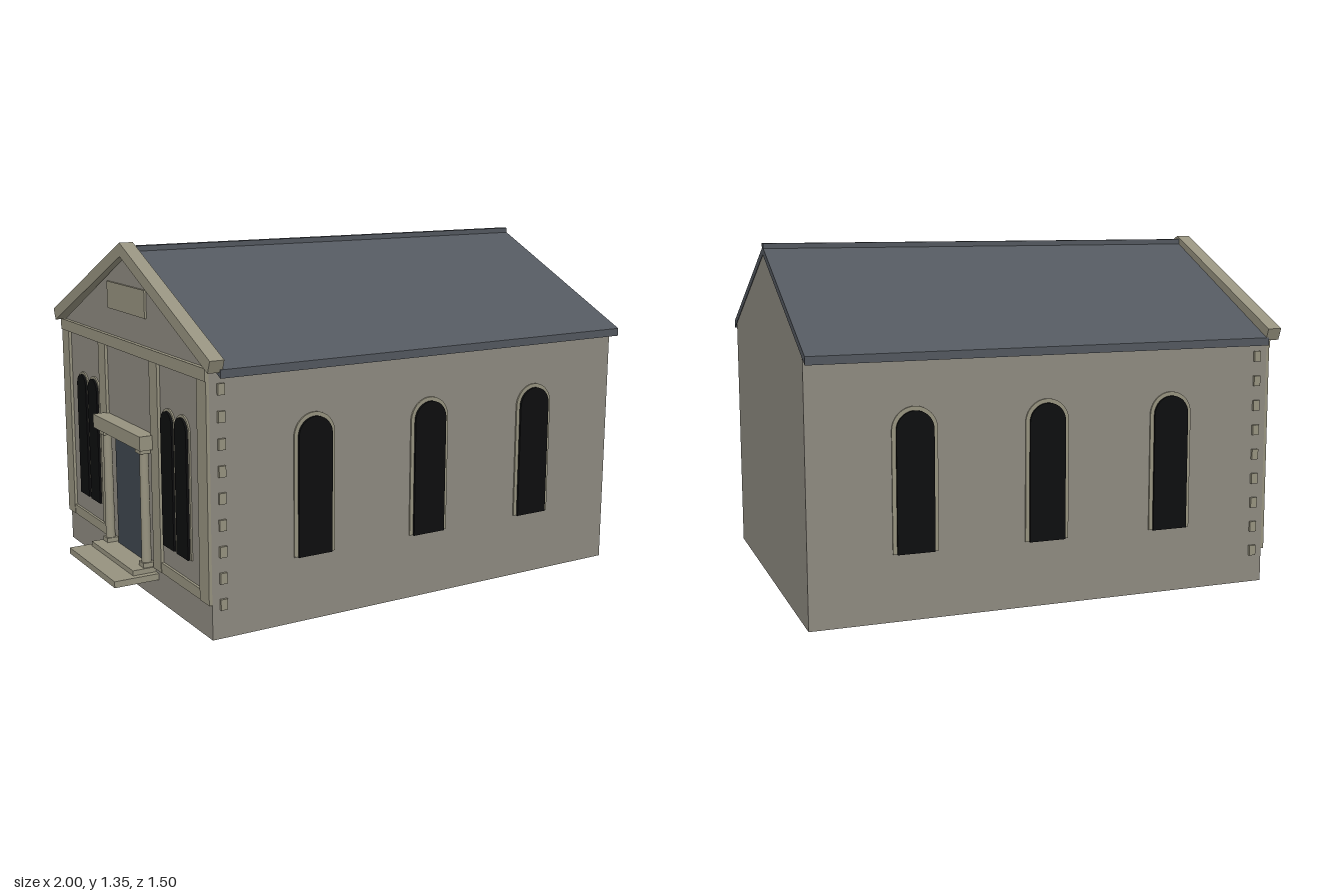
import * as THREE from 'three';

const mat = (name, color) => {
  const m = new THREE.MeshStandardMaterial({ color });
  m.name = name;
  return m;
};

export function createModel() {
  const wallMat = mat('wall stone', 0x8e8a80);
  const trimMat = mat('trim stone', 0x96927f);
  const roofMat = mat('roof slate', 0x53585f);
  const glassMat = mat('dark glass', 0x0d0e0f);
  const doorMat = mat('door blue grey', 0x3f474f);

  const model = new THREE.Group();
  model.name = 'hall';

  const add = (parent, name, geometry, material, x = 0, y = 0, z = 0) => {
    const mesh = new THREE.Mesh(geometry, material);
    mesh.name = name;
    mesh.position.set(x, y, z);
    parent.add(mesh);
    return mesh;
  };
  // Box given by its lower and upper limits
  const box = (parent, name, material, [x0, x1], [y0, y1], [z0, z1]) =>
    add(parent, name, new THREE.BoxGeometry(x1 - x0, y1 - y0, z1 - z0), material,
      (x0 + x1) / 2, (y0 + y1) / 2, (z0 + z1) / 2);
  // Profile in the (z, y) plane, symmetric about z = 0, extruded from x0 to x1
  const alongX = (name, material, points, x0, x1) => {
    const shape = new THREE.Shape(points.map(([z, y]) => new THREE.Vector2(z, y)));
    const geometry = new THREE.ExtrudeGeometry(shape, { depth: x1 - x0, bevelEnabled: false });
    geometry.rotateY(Math.PI / 2);
    return add(model, name, geometry, material, x0);
  };
  const chevron = (outer, outerTop, inner, innerTop) => [
    [-outer[0], outer[1]], [-inner[0], inner[1]], [0, innerTop],
    inner, outer, [0, outerTop],
  ];

  // Round-headed panel outline, y0 = sill, y1 = crown
  const arch = (halfWidth, y0, y1) => {
    const s = new THREE.Shape();
    s.moveTo(-halfWidth, y0);
    s.lineTo(halfWidth, y0);
    s.lineTo(halfWidth, y1 - halfWidth);
    s.absarc(0, y1 - halfWidth, halfWidth, 0, Math.PI, false);
    s.closePath();
    return s;
  };
  const extrude = (shape, depth) =>
    new THREE.ExtrudeGeometry(shape, { depth, bevelEnabled: false, curveSegments: 12 });
  const archWindow = (parent, x, halfWidth, border) => {
    const w = new THREE.Group();
    w.name = 'archedWindow';
    w.position.x = x;
    parent.add(w);
    add(w, 'windowSurround', extrude(arch(halfWidth + border, 0.25, 0.765 + border), 0.006), trimMat);
    add(w, 'windowGlass', extrude(arch(halfWidth, 0.249, 0.765), 0.0145), glassMat);
  };

  // Main body with gables
  alongX('walls', wallMat,
    [[-0.69, 0], [0.69, 0], [0.69, 0.968], [0, 1.295], [-0.69, 0.968]], -0.82, 0.998);

  // Roof, ridge and front rake
  alongX('roof', roofMat, chevron([0.738, 0.975], 1.32, [0.738, 0.945], 1.29), -0.8, 1);
  box(model, 'ridgeCap', roofMat, [-0.79, 1], [1.305, 1.333], [-0.015, 0.015]);
  alongX('gableRake', trimMat, chevron([0.75, 1.01], 1.347, [0.732, 0.965], 1.295), -0.845, -0.79);

  // Long sides: windows and corner quoins
  for (const side of [1, -1]) {
    const wall = new THREE.Group();
    wall.name = side > 0 ? 'frontWallDetails' : 'backWallDetails';
    wall.position.z = side * 0.69;
    wall.rotation.y = side > 0 ? 0 : Math.PI;
    model.add(wall);
    for (const x of [-0.405, 0.1, 0.605]) archWindow(wall, x * side, 0.07, 0.015);
    for (let i = 0; i < 9; i++) {
      const y = 0.128 + i * 0.0965;
      add(wall, 'quoin', new THREE.BoxGeometry(0.027, 0.04, 0.02), trimMat, -0.777 * side, y, 0);
    }
  }

  // Entrance facade, built facing local +z
  const facade = new THREE.Group();
  facade.name = 'entranceFacade';
  facade.position.x = -0.82;
  facade.rotation.y = -Math.PI / 2;
  model.add(facade);

  for (const s of [1, -1]) {
    box(facade, 'cornerPilaster', trimMat, s > 0 ? [0.615, 0.69] : [-0.69, -0.615], [0.13, 0.95], [0, 0.012]);
    box(facade, 'innerPilaster', trimMat, [s * 0.25 - 0.035, s * 0.25 + 0.035], [0.13, 0.95], [0, 0.012]);
    box(facade, 'baseRail', trimMat, s > 0 ? [0.285, 0.615] : [-0.615, -0.285], [0.13, 0.17], [0, 0.01]);
    for (const dx of [-0.06, 0.06]) archWindow(facade, s * 0.42 + dx, 0.048, 0.01);

    // Portico columns with base and capital
    add(facade, 'column', new THREE.CylinderGeometry(0.017, 0.019, 0.465, 20), trimMat, s * 0.18, 0.3625, 0.025);
    box(facade, 'columnCapital', trimMat, [s * 0.18 - 0.023, s * 0.18 + 0.023], [0.575, 0.595], [0, 0.05]);
    box(facade, 'columnBase', trimMat, [s * 0.18 - 0.023, s * 0.18 + 0.023], [0.13, 0.148], [0.002, 0.048]);
  }
  box(facade, 'entablature', trimMat, [-0.69, 0.69], [0.93, 0.975], [0, 0.016]);
  box(facade, 'gablePlaque', trimMat, [-0.18, 0.18], [1.08, 1.185], [0, 0.008]);

  // Doorway, lintel and steps
  box(facade, 'door', doorMat, [-0.14, 0.14], [0.13, 0.575], [0, 0.008]);
  box(facade, 'porticoLintel', trimMat, [-0.232, 0.232], [0.595, 0.65], [0, 0.063]);
  box(facade, 'upperStep', trimMat, [-0.21, 0.21], [0.11, 0.13], [0, 0.095]);
  box(facade, 'lowerStep', trimMat, [-0.235, 0.235], [0.085, 0.11], [0, 0.18]);

  return model;
}
